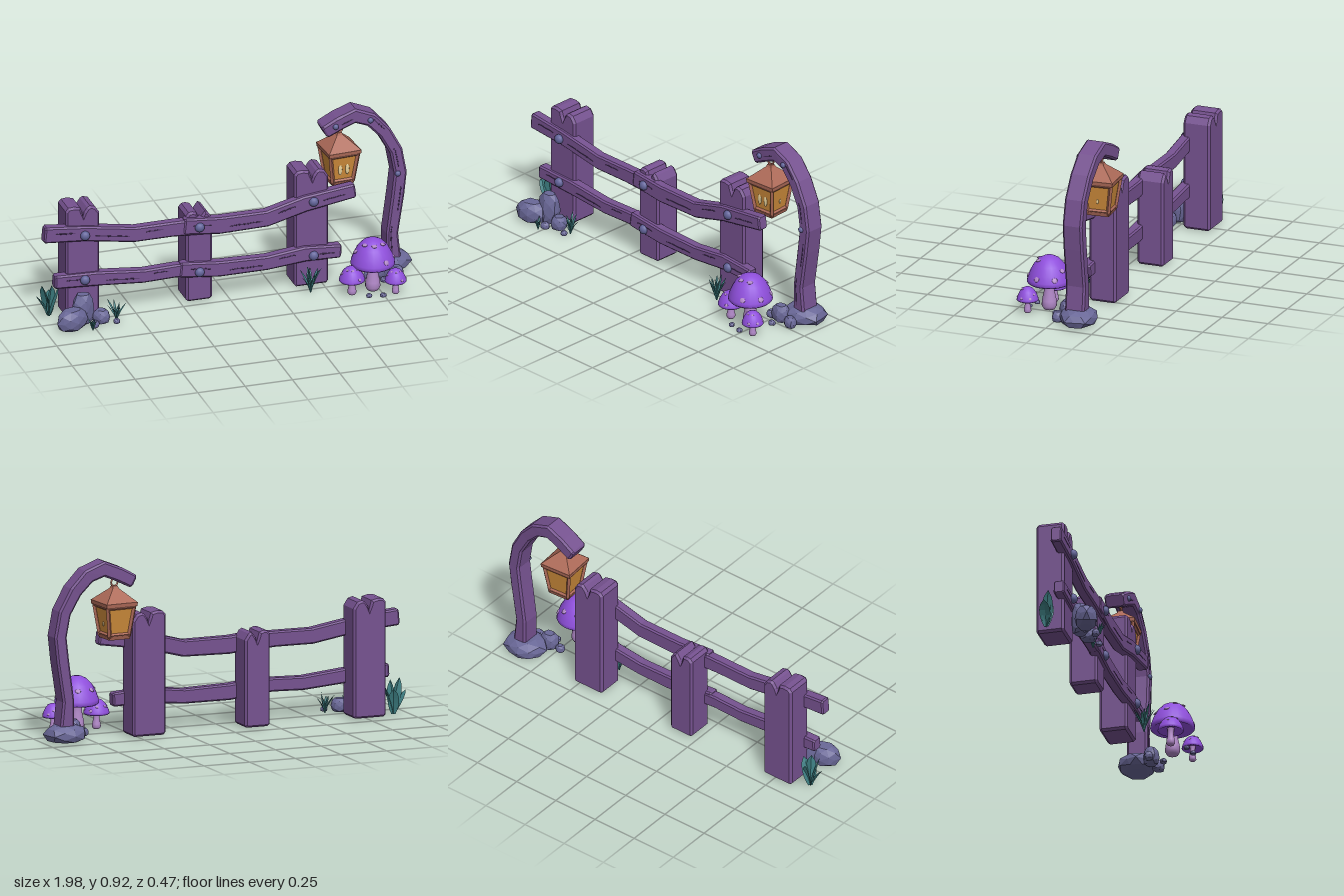
import * as THREE from 'three';

const mat = (name, color, side = THREE.FrontSide) => {
  const m = new THREE.MeshStandardMaterial({ color, side });
  m.name = name;
  return m;
};

export function createModel() {
  const root = new THREE.Group();
  root.name = 'fenceWithLantern';
  const wood = mat('purpleWood', 0x765290), crackMat = mat('darkWood', 0x46305a);
  const bolt = mat('boltMetal', 0x62649a), stone = mat('stone', 0x6a6898);
  const copper = mat('copper', 0xad6a58), glass = mat('amberGlass', 0xd08d3c);
  const cream = mat('paleGlow', 0xe6cf98), cap = mat('mushroomCap', 0x8f4fdc);
  const stem = mat('mushroomStem', 0xb188c8);
  const leaf = mat('tealLeaf', 0x3c7c80, THREE.DoubleSide);

  const add = (name, geo, material, parent = root) => {
    const m = new THREE.Mesh(geo, material);
    m.name = name;
    parent.add(m);
    return m;
  };
  const flat = (geo) => {
    const g = geo.index ? geo.toNonIndexed() : geo;
    g.computeVertexNormals();
    return g;
  };
  let seed = 7;
  const rand = () => (seed = (seed * 16807) % 2147483647) / 2147483647;

  // Chamfered beam swept along points [x, y, z, height]
  function beamGeometry(pts, depth, c) {
    const rings = [];
    const n = pts.length;
    const ring = (i, inset, push) => {
      const [x, y, z, h] = pts[i];
      const a = pts[Math.max(i - 1, 0)], b = pts[Math.min(i + 1, n - 1)];
      const len = Math.hypot(b[0] - a[0], b[1] - a[1]);
      const tx = (b[0] - a[0]) / len, ty = (b[1] - a[1]) / len;
      const u = h / 2 - inset, w = depth / 2 - inset;
      rings.push([[u, w - c], [u - c, w], [c - u, w], [-u, w - c], [-u, c - w], [c - u, -w], [u - c, -w], [u, c - w]]
        .map(([s, q]) => [x - ty * s + tx * push, y + tx * s + ty * push, z + q]));
    };
    ring(0, c * 0.7, 0);
    for (let i = 0; i < n; i++) ring(i, 0, i === 0 ? c : i === n - 1 ? -c : 0);
    ring(n - 1, c * 0.7, 0);
    const pos = [], tri = (a, b, d) => pos.push(...a, ...b, ...d);
    for (let j = 0; j < rings.length - 1; j++) for (let k = 0; k < 8; k++) {
      const l = (k + 1) % 8, A = rings[j], B = rings[j + 1];
      tri(A[k], A[l], B[l]);
      tri(A[k], B[l], B[k]);
    }
    const first = rings[0], last = rings[rings.length - 1];
    for (let k = 1; k < 7; k++) {
      tri(first[0], first[k + 1], first[k]);
      tri(last[0], last[k], last[k + 1]);
    }
    const g = new THREE.BufferGeometry();
    g.setAttribute('position', new THREE.Float32BufferAttribute(pos, 3));
    g.computeVertexNormals();
    return g;
  }
  // Thin split in the wood between two path positions
  function crack(pts, depth, t0, t1, off) {
    const line = [];
    for (let s = 0; s <= 4; s++) {
      const t = t0 + (t1 - t0) * s / 4, i = Math.min(Math.floor(t), pts.length - 2), f = t - i;
      const p = pts[i].map((v, k) => v + (pts[i + 1][k] - v) * f);
      const dx = pts[i + 1][0] - pts[i][0], dy = pts[i + 1][1] - pts[i][1], l = Math.hypot(dx, dy);
      line.push([p[0] - dy / l * off, p[1] + dx / l * off + (s % 2) * 0.002, p[2] + depth / 2, s % 4 ? 0.006 : 0.003]);
    }
    add('woodCrack', beamGeometry(line, 0.003, 0.0005), crackMat);
  }
  function addBolt(x, y, z, r) {
    const m = add('bolt', new THREE.SphereGeometry(r, 12, 8), bolt);
    m.position.set(x, y, z);
    m.scale.z = 0.85;
  }

  // Posts with a split top
  for (const [x, w, h] of [[-0.768, 0.178, 0.61], [-0.153, 0.138, 0.495], [0.44, 0.18, 0.64]]) {
    const s = new THREE.Shape(), a = w / 2, n = w * 0.02;
    s.moveTo(-a + 0.012, 0.003);
    [[a - 0.012, 0.003], [a, 0.015], [a, h - 0.045], [a - 0.022, h - 0.012], [a * 0.45, h - 0.004],
      [n + 0.022, h - 0.012], [n + 0.006, h - 0.035], [n, h - 0.06], [n - 0.006, h - 0.035], [n - 0.014, h - 0.008],
      [-a * 0.5, h], [-a + 0.015, h - 0.003], [-a, h - 0.02], [-a, 0.015]].forEach((p) => s.lineTo(...p));
    const g = new THREE.ExtrudeGeometry(s, {
      depth: 0.121, bevelEnabled: true, bevelThickness: 0.012, bevelSize: 0.01, bevelOffset: -0.01, bevelSegments: 1,
    });
    add('post', flat(g), wood).position.set(x, 0, -0.17);
  }

  // Rails, two overlapping lengths per row
  const rails = [
    [[-0.975, 0.485, -0.046, 0.085], [-0.76, 0.465, -0.046, 0.08], [-0.5, 0.422, -0.046, 0.08], [-0.3, 0.423, -0.046, 0.08], [-0.09, 0.415, -0.046, 0.09]],
    [[-0.24, 0.43, -0.041, 0.085], [-0.05, 0.41, -0.041, 0.09], [0.2, 0.412, -0.041, 0.085], [0.4, 0.465, -0.041, 0.085], [0.665, 0.502, -0.041, 0.075]],
    [[-0.92, 0.217, -0.046, 0.07], [-0.7, 0.207, -0.046, 0.075], [-0.45, 0.185, -0.046, 0.07], [-0.28, 0.19, -0.046, 0.07], [-0.09, 0.175, -0.046, 0.075]],
    [[-0.26, 0.193, -0.041, 0.08], [-0.05, 0.17, -0.041, 0.082], [0.2, 0.167, -0.041, 0.075], [0.4, 0.188, -0.041, 0.08], [0.59, 0.178, -0.041, 0.07]],
  ];
  for (const r of rails) {
    add('rail', beamGeometry(r, 0.056, 0.008), wood);
    crack(r, 0.056, 0.25, 0.75, 0.006);
    crack(r, 0.056, 1.2, 1.9, -0.008);
    crack(r, 0.056, 2.3, 2.75, 0.01);
    crack(r, 0.056, 3.35, 3.8, -0.004);
  }
  for (const [x, yTop, yLow] of [[-0.765, 0.46, 0.215], [-0.16, 0.42, 0.172], [0.442, 0.475, 0.177]]) {
    addBolt(x, yTop, -0.012, 0.025);
    addBolt(x, yLow, -0.012, 0.025);
  }

  // Hooked lamp pole
  const pole = [[0.888, 0.03, -0.122, 0.078], [0.878, 0.21, -0.122, 0.062], [0.908, 0.417, -0.122, 0.066], [0.922, 0.54, -0.123, 0.066],
    [0.9, 0.663, -0.126, 0.066], [0.842, 0.77, -0.131, 0.068], [0.773, 0.845, -0.137, 0.072], [0.69, 0.877, -0.142, 0.078],
    [0.607, 0.843, -0.146, 0.074], [0.53, 0.802, -0.15, 0.07]];
  add('lampPole', beamGeometry(pole, 0.106, 0.01), wood);
  for (const [a, b, o] of [[0.4, 1.2, 0.01], [1.6, 2.4, -0.008], [3.3, 4.2, 0.006], [5.2, 6.1, -0.01], [7.2, 7.9, 0.008]]) crack(pole, 0.106, a, b, o);
  addBolt(0.585, 0.833, -0.093, 0.015);
  addBolt(0.765, 0.848, -0.083, 0.015);
  addBolt(0.905, 0.54, -0.07, 0.015);

  // Lantern
  const lantern = new THREE.Group();
  lantern.name = 'lantern';
  lantern.position.set(0.617, 0, -0.142);
  lantern.rotation.y = 0.07;
  root.add(lantern);
  const taper = (name, top, bottom, y0, y1, material) => {
    const g = new THREE.CylinderGeometry(top * Math.SQRT2, bottom * Math.SQRT2, y1 - y0, 4);
    g.rotateY(Math.PI / 4);
    return add(name, flat(g).translate(0, (y0 + y1) / 2, 0), material, lantern);
  };
  taper('lanternBase', 0.062, 0.056, 0.512, 0.532, copper);
  taper('lanternGlass', 0.074, 0.052, 0.53, 0.69, glass);
  taper('lanternEave', 0.088, 0.086, 0.682, 0.702, copper);
  taper('lanternRoof', 0.016, 0.087, 0.702, 0.768, copper);
  taper('lanternFinial', 0.012, 0.018, 0.765, 0.78, copper);
  const bar = (a, b, r) => {
    const g = new THREE.TubeGeometry(new THREE.LineCurve3(new THREE.Vector3(...a), new THREE.Vector3(...b)), 1, r, 4);
    add('lanternFrame', flat(g), copper, lantern);
  };
  for (const sx of [-1, 1]) for (const sz of [-1, 1]) bar([sx * 0.054, 0.525, sz * 0.054], [sx * 0.076, 0.69, sz * 0.076], 0.011);
  for (let k = 0; k < 4; k++) {
    const c = Math.cos(k * Math.PI / 2), s = Math.sin(k * Math.PI / 2);
    for (const [y, w] of [[0.537, 0.055], [0.678, 0.075]]) bar([w * (c - s), y, w * (c + s)], [w * (-s - c), y, w * (c - s)], 0.009);
  }
  add('hangingRing', new THREE.TorusGeometry(0.018, 0.005, 6, 16), copper, lantern).position.y = 0.796;
  const glow = (x, y, z, w, h, d) => {
    const m = add('glowLight', new THREE.SphereGeometry(1, 10, 8), cream, lantern);
    m.position.set(x, y, z);
    m.scale.set(w, h, d);
  };
  glow(-0.018, 0.6, 0.063, 0.011, 0.03, 0.005);
  glow(0.02, 0.6, 0.063, 0.011, 0.03, 0.005);
  glow(0.062, 0.59, 0, 0.004, 0.012, 0.006);

  // Mushrooms: x, z, cap radius, cap bottom, top
  for (const [x, z, r, y0, y1] of [[0.717, 0.1, 0.113, 0.14, 0.285], [0.6, 0.122, 0.066, 0.076, 0.155], [0.812, 0.178, 0.055, 0.066, 0.138]]) {
    const g = new THREE.Group();
    g.name = 'mushroom';
    g.position.set(x, 0, z);
    root.add(g);
    const h = y1 - y0, v = (a) => a.map(([p, q]) => new THREE.Vector2(p, q));
    const dome = [[0.25, 0.22], [0.7, 0.1], [0.92, 0], [1, 0.06], [0.98, 0.18], [0.87, 0.42], [0.68, 0.7], [0.45, 0.89], [0.22, 0.98], [0, 1]];
    add('mushroomCap', new THREE.LatheGeometry(v(dome.map(([p, q]) => [p * r, y0 + q * h])), 24), cap, g);
    const k = r * 0.31;
    add('mushroomStem', new THREE.LatheGeometry(v([[0, 0.002], [k * 0.8, 0.002], [k * 1.1, y0 * 0.15], [k * 1.05, y0 * 0.35],
      [k * 0.75, y0 * 0.7], [k * 0.75, y0], [k * 0.9, y0 + h * 0.22]]), 16), stem, g);
    for (let i = 0; i < 9; i++) {
      const a = i * 2.4 + 0.4, [p, q] = [[0.925, 0.3], [0.78, 0.56], [0.5, 0.855]][i % 3];
      const spot = add('capSpot', new THREE.SphereGeometry(r * 0.13, 10, 6), stem, g);
      const nrm = new THREE.Vector3(Math.sin(a) * (1.1 - q), 0.25 + q * 0.75, Math.cos(a) * (1.1 - q)).normalize();
      spot.position.set(Math.sin(a) * p * r, y0 + q * h, Math.cos(a) * p * r);
      spot.quaternion.setFromUnitVectors(new THREE.Vector3(0, 1, 0), nrm);
      spot.scale.y = 0.3;
    }
  }

  // Faceted rocks: x, z, width, depth, height, turn
  const rocks = [[-0.862, 0.08, 0.17, 0.115, 0.105, 0.3], [-0.79, 0.03, 0.12, 0.09, 0.16, 0.1], [-0.7, 0.05, 0.09, 0.085, 0.07, -0.4],
    [-0.63, 0.085, 0.035, 0.035, 0.025, 0], [-0.75, 0.1, 0.05, 0.04, 0.035, 0.5], [0.88, -0.128, 0.225, 0.195, 0.085, 0.2],
    [0.8, -0.035, 0.1, 0.08, 0.09, 0.2], [0.88, -0.02, 0.075, 0.06, 0.055, -0.3], [0.735, -0.03, 0.05, 0.045, 0.04, 0.5],
    [0.8, 0.03, 0.04, 0.035, 0.025, 0], [0.67, 0.185, 0.03, 0.03, 0.02, 0.3], [0.74, 0.2, 0.035, 0.03, 0.02, 0]];
  for (const [x, z, w, d, h, turn] of rocks) {
    const g = new THREE.IcosahedronGeometry(1, 1), p = g.attributes.position, phase = rand() * 6;
    for (let i = 0; i < p.count; i++) {
      const a = p.getX(i), b = p.getY(i), c = p.getZ(i);
      const k = 1 + 0.09 * Math.sin(a * 5 + phase) * Math.cos(c * 4 + phase);
      p.setXYZ(i, a * k * w / 2, Math.min(Math.max(b * 0.72 + 0.45, 0), 1) * h, c * k * d / 2);
    }
    const m = add('rock', flat(g), stone);
    m.position.set(x, 0.001, z);
    m.rotation.y = turn;
  }

  // Bent, folded blades; a tuft fans them around a point
  function blade(name, x, z, angle, len, width, lean) {
    const g = new THREE.PlaneGeometry(1, 1, 2, 5), p = g.attributes.position;
    for (let i = 0; i < p.count; i++) {
      const t = p.getY(i) + 0.5, u = p.getX(i);
      const w = width * (0.3 + 2.2 * t) * Math.pow(1 - t, 0.8) * 0.95;
      p.setXYZ(i, u * w, t * len * (1 - lean * t * 0.3), len * lean * t * (0.4 + 0.6 * t) + Math.abs(u) * w * 0.35);
    }
    const m = add(name, flat(g), leaf);
    m.position.set(x, 0, z);
    m.rotation.y = angle;
  }
  for (const [x, z, count, len, width, lean] of [[-0.62, 0.05, 9, 0.12, 0.018, 0.5], [-0.77, 0.13, 7, 0.075, 0.014, 0.45], [0.41, 0.035, 10, 0.155, 0.022, 0.5]])
    for (let i = 0; i < count; i++)
      blade('grassBlade', x, z, i / count * Math.PI * 2 + rand() * 0.4, len * (0.7 + rand() * 0.35), width, lean * (0.3 + rand() * 0.8));
  for (const [a, len, lean] of [[-1.5, 0.14, 0.5], [-1.1, 0.195, 0.25], [0.4, 0.18, 0.12], [1.4, 0.17, 0.3], [2.8, 0.14, 0.2]])
    blade('broadLeaf', -0.925, -0.11, a, len, 0.075, lean);

  return root;
}
